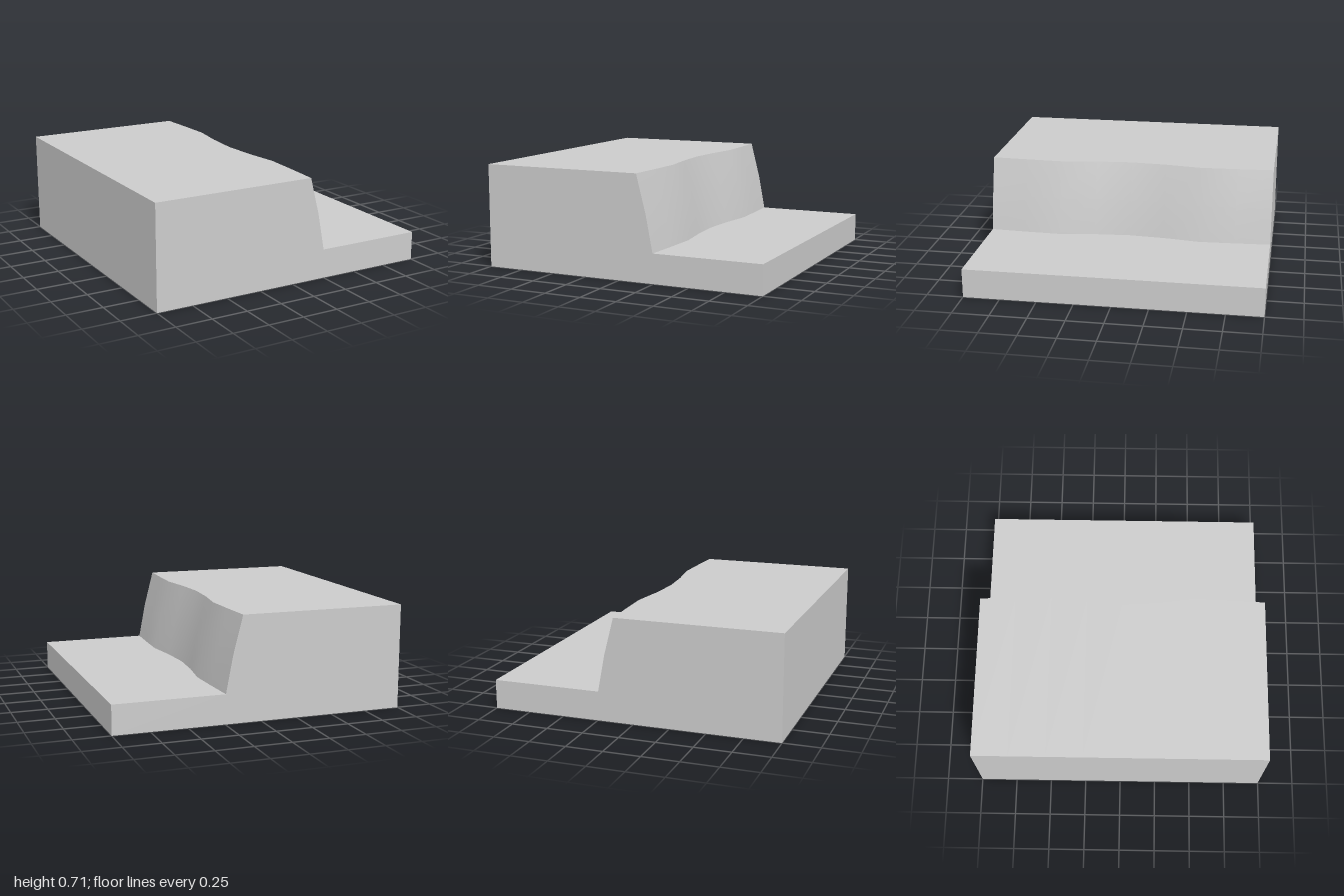
import * as THREE from 'three';

const HEIGHT = 0.71, LEDGE = 0.2;
// cliff line from foot to brink, and how far it wanders along the depth
const CLIFF = [[0.245, LEDGE], [0.197, 0.45], [0.13, HEIGHT]];
const ROWS = [
  [1, 0], [0.75, 0.013], [0.5, 0.022], [0.25, -0.013], [0, -0.03],
  [-0.25, -0.013], [-0.5, 0.022], [-0.75, 0.013], [-1, 0],
];

export function createModel() {
  const group = new THREE.Group();
  group.name = 'terrainStep';
  const material = new THREE.MeshStandardMaterial({ color: 0xcccccc });

  const add = (name, geometry) => {
    const mesh = new THREE.Mesh(geometry, material);
    mesh.name = name;
    group.add(mesh);
    return mesh;
  };

  // sweep a line of [x, y, wander] points from front to back
  const strip = (name, line) => {
    const n = line.length, pos = [], index = [];
    ROWS.forEach(([z, shift], i) => {
      line.forEach(([x, y, wander], j) => {
        pos.push(x + shift * wander, y, z);
        if (i < ROWS.length - 1 && j < n - 1) {
          const a = i * n + j, b = a + 1, d = a + n, c = d + 1;
          index.push(a, c, b, a, d, c);
        }
      });
    });
    const g = new THREE.BufferGeometry();
    g.setAttribute('position', new THREE.Float32BufferAttribute(pos, 3));
    g.setIndex(index);
    g.computeVertexNormals();
    add(name, g);
  };

  const foot = CLIFF[0], brink = CLIFF[CLIFF.length - 1];
  strip('underside', [[-1, 0, 0], [1, 0, 0]]);
  strip('lowSide', [[1, 0, 0], [1, LEDGE, 0]]);
  strip('lowerGround', [[1, LEDGE, 0], [...foot, 1]]);
  strip('cliffFace', CLIFF.map((p) => [...p, 1]));
  strip('upperGround', [[...brink, 1], [-1, HEIGHT, 0]]);
  strip('highSide', [[-1, HEIGHT, 0], [-1, 0, 0]]);

  // flat cut ends, the back one mirrored and turned around
  const outline = [[-1, 0], [1, 0], [1, LEDGE], ...CLIFF, [-1, HEIGHT]];
  for (const s of [1, -1]) {
    const shape = new THREE.Shape(outline.map(([x, y]) => new THREE.Vector2(s * x, y)));
    const end = add(s > 0 ? 'frontEnd' : 'backEnd', new THREE.ShapeGeometry(shape));
    end.position.z = s;
    if (s < 0) end.rotation.y = Math.PI;
  }
  return group;
}
